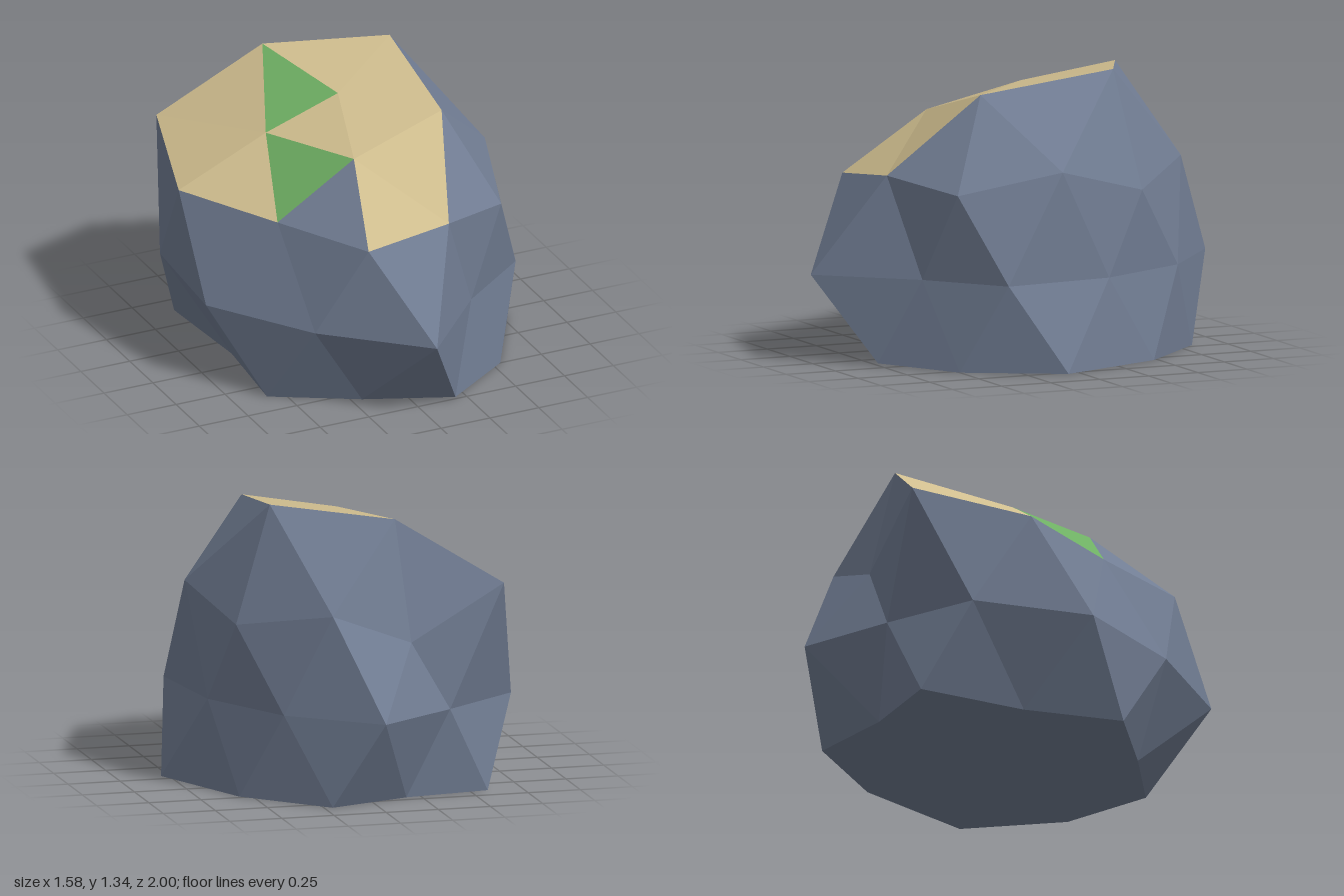
import * as THREE from 'three';

// Faceted boulder: rings of corners, each running counterclockwise seen from above
const peak = [-0.02, 1.255, -0.07];
const crown = [[-0.14, 1.13, 0.355], [0.335, 1.257, 0.3], [0.38, 1.344, -0.355], [-0.15, 1.297, -0.61], [-0.37, 1.107, -0.11]];
const shoulder = [
  [-0.245, 0.843, 0.735], [0.18, 0.885, 0.705], [0.54, 0.825, 0.51], [0.68, 0.925, 0.04], [0.56, 0.8, -0.42],
  [0.195, 0.89, -0.785], [-0.19, 0.74, -0.75], [-0.645, 0.99, -0.71], [-0.785, 0.87, -0.175], [-0.5, 0.85, 0.29],
];
const girth = [
  [-0.02, 1], [0.344, 0.6], [0.702, 0.325], [0.64, -0.215], [0.4, -0.675],
  [0, -1], [-0.38, -0.735], [-0.75, -0.45], [-0.79, 0.13], [-0.46, 0.612],
].map(([x, z]) => [x, 0.413, z]);
const foot = [
  [-0.2, 0.57], [0.19, 0.755], [0.54, 0.5], [0.787, 0.06], [0.56, -0.48],
  [0.21, -0.835], [-0.18, -0.7], [-0.585, -0.645], [-0.54, -0.12], [-0.585, 0.355],
].map(([x, z], i) => [x, i === 1 ? 0.012 : 0, z]);

function facetMesh(name, faces, material) {
  const geometry = new THREE.BufferGeometry();
  geometry.setAttribute('position', new THREE.Float32BufferAttribute(faces.flat(2), 3));
  geometry.computeVertexNormals();
  const mesh = new THREE.Mesh(geometry, material);
  mesh.name = name;
  return mesh;
}

function paint(name, color) {
  const material = new THREE.MeshStandardMaterial({ color, flatShading: true });
  material.name = name;
  return material;
}

export function createModel() {
  const stone = [], sand = [], moss = [];
  const at = (ring, i) => ring[(i + ring.length) % ring.length];

  // Top: peak fan and the sloping band below it, one fifth at a time.
  // Colours per fifth: peak face, left slope, middle slope, right slope
  const colours = [
    [sand, sand, sand, stone],
    [sand, stone, stone, stone],
    [sand, stone, stone, stone],
    [moss, stone, sand, sand],
    [sand, sand, moss, stone],
  ];
  colours.forEach(([top, left, middle, right], i) => {
    const a = crown[i], b = at(crown, i + 1), mid = shoulder[2 * i + 1];
    top.push([peak, a, b]);
    left.push([a, shoulder[2 * i], mid]);
    middle.push([a, mid, b]);
    right.push([b, mid, at(shoulder, 2 * i + 2)]);
  });

  // Sides and flat underside
  for (let i = 0; i < 10; i++) {
    stone.push([shoulder[i], girth[i], at(shoulder, i + 1)]);
    stone.push([shoulder[i], at(girth, i - 1), girth[i]]);
    stone.push([at(girth, i - 1), foot[i], girth[i]]);
    stone.push([girth[i], foot[i], at(foot, i + 1)]);
    stone.push([[0, 0, 0], at(foot, i + 1), foot[i]]);
  }

  const group = new THREE.Group();
  group.name = 'boulder';
  group.add(
    facetMesh('stoneBody', stone, paint('slate grey', 0x717d93)),
    facetMesh('sandCap', sand, paint('sand', 0xcfbd8e)),
    facetMesh('mossPatches', moss, paint('moss green', 0x6eae62)),
  );
  return group;
}
